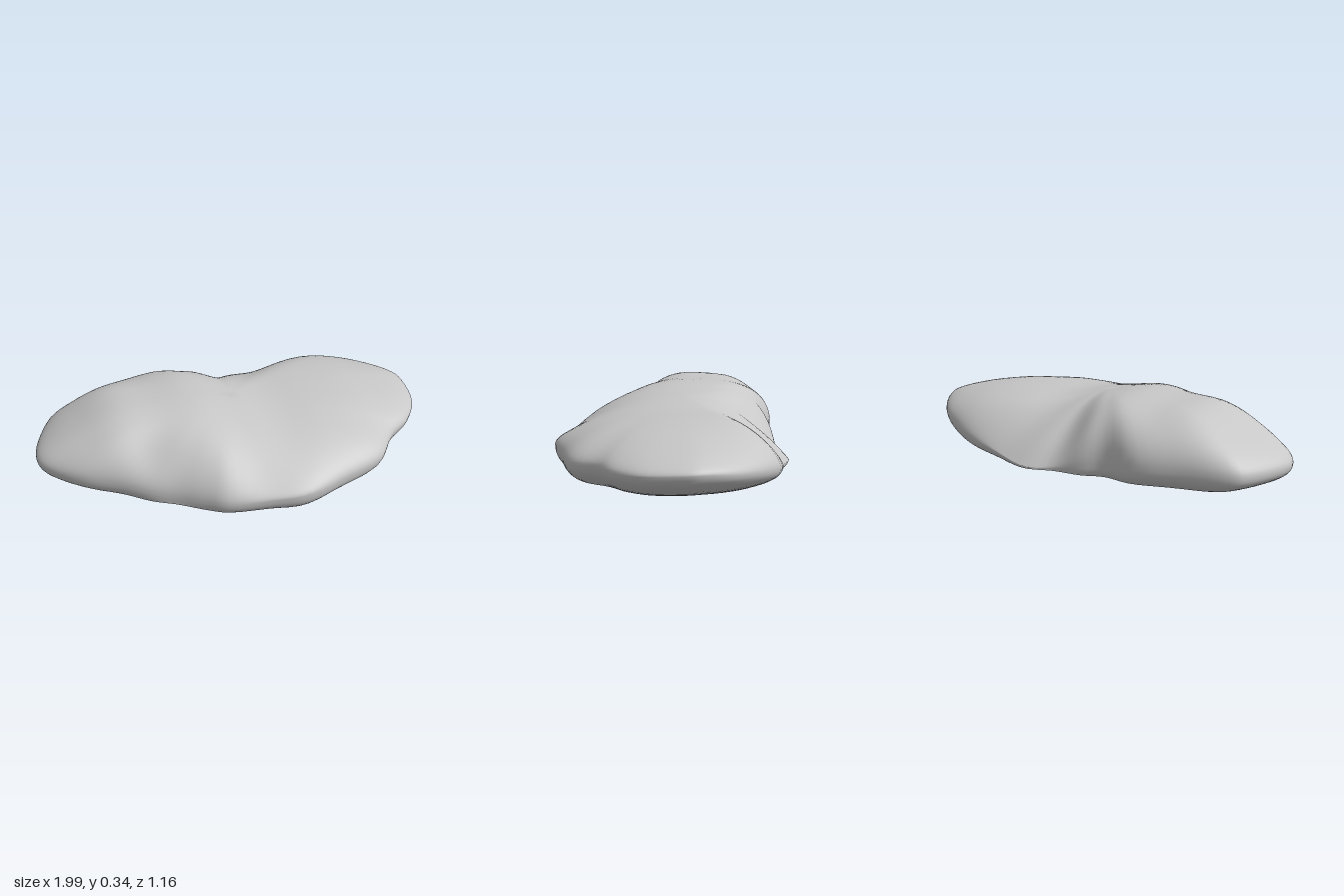
import * as THREE from 'three';

const CZ = -0.05;      // rings shrink towards (0, CZ)
const SEG = 112;

// Widest outline: x, z, height of the widest point, scale of the base below it
const RIM = [
  [1, -0.05, 0.15, 0.77], [0.97, 0.12, 0.14, 0.79], [0.87, 0.25, 0.13, 0.82],
  [0.74, 0.33, 0.12, 0.86], [0.61, 0.46, 0.1, 0.9], [0.38, 0.525, 0.09, 0.93],
  [0.18, 0.578, 0.09, 0.94], [0, 0.545, 0.08, 0.94], [-0.19, 0.495, 0.06, 0.96],
  [-0.29, 0.42, 0.04, 0.99], [-0.4, 0.335, 0.03, 1], [-0.52, 0.27, 0.05, 0.99],
  [-0.66, 0.185, 0.08, 0.95], [-0.8, 0.11, 0.09, 0.92], [-0.91, 0.02, 0.09, 0.9],
  [-0.985, -0.08, 0.09, 0.88], [-0.985, -0.2, 0.09, 0.88], [-0.91, -0.37, 0.09, 0.88],
  [-0.83, -0.445, 0.09, 0.89], [-0.62, -0.495, 0.09, 0.9], [-0.41, -0.54, 0.08, 0.92],
  [-0.24, -0.505, 0.05, 0.96], [-0.12, -0.53, 0.03, 0.99], [0.02, -0.54, 0.015, 1],
  [0.17, -0.58, 0.01, 1], [0.38, -0.535, 0.04, 0.96], [0.6, -0.49, 0.08, 0.9],
  [0.78, -0.395, 0.11, 0.84], [0.9, -0.28, 0.13, 0.8], [0.98, -0.15, 0.15, 0.77],
];

// Height of the crown at even steps from x = -1 to x = 1
const RIDGE = new THREE.SplineCurve(
  [0.22, 0.275, 0.334, 0.33, 0.336, 0.3, 0.265, 0.268, 0.266, 0.25, 0.235]
    .map((y, i) => new THREE.Vector2(-1 + i * 0.2, y)));

const { smoothstep, lerp, clamp } = THREE.MathUtils;
const bump = (x, z, cx, cz, r) => Math.exp(-((x - cx) ** 2 + (z - cz) ** 2) / (r * r));

// Crown height: a ridge that tilts down at the front of the high half, with two worn hollows
function crown(x, z) {
  const tilt = z > -0.1 ? lerp(0.4, 0.16, smoothstep(x, -0.1, 0.3)) : 0.16;
  return RIDGE.getPoint(clamp((x + 1) / 2, 0, 1)).y - tilt * (z + 0.1) ** 2
    - 0.06 * bump(x, z, -0.52, 0.22, 0.13) - 0.03 * bump(x, z, -0.02, -0.44, 0.12);
}

// How far the back edge at a rim point runs out as a straight skirt
const skirt = (r) => (r.z < -0.3
  ? smoothstep(r.x, -0.2, 0.1) * (1 - smoothstep(r.x, 0.3, 0.75)) : 0);

function createRings() {
  const rimCurve = new THREE.CatmullRomCurve3(
    RIM.map(([x, z, y]) => new THREE.Vector3(x, y, z)), true, 'catmullrom', 0.5);
  const baseCurve = new THREE.CatmullRomCurve3(
    RIM.map(([x, z, , s]) => new THREE.Vector3(x * s, 0, CZ + (z - CZ) * s)), true, 'catmullrom', 0.5);
  const rims = [], bases = [];
  for (let j = 0; j < SEG; j++) {
    rims.push(rimCurve.getPoint(j / SEG));
    bases.push(baseCurve.getPoint(j / SEG));
  }
  const rings = [];
  // Undercut side, from the base to the widest outline, shallower at the +x end
  for (let i = 0; i <= 8; i++) {
    const up = i / 8;
    rings.push(rims.map((r, j) => {
      const out = 1 - (1 - up) ** lerp(2.8, 2, smoothstep(r.x, 0.4, 0.9));
      return new THREE.Vector3(lerp(bases[j].x, r.x, out), r.y * up, lerp(bases[j].z, r.z, out));
    }));
  }
  // Rounded shoulder and crown
  const STEPS = 24;
  for (let i = 1; i <= STEPS; i++) {
    const t = Math.max(Math.cos((i / STEPS) * Math.PI / 2), 0);
    rings.push(rims.map((r) => {
      const x = r.x * t, z = CZ + (r.z - CZ) * t;
      const rise = lerp(Math.sqrt(1 - t ** 4), 1 - t ** 2.6, skirt(r));
      return new THREE.Vector3(x, lerp(r.y, crown(x, z), rise), z);
    }));
  }
  return rings;
}

function loft(rings) {
  const positions = [], index = [];
  rings.forEach((ring) => ring.forEach((p) => positions.push(p.x, p.y, p.z)));
  for (let i = 0; i < rings.length - 1; i++) {
    for (let j = 0; j < SEG; j++) {
      const a = i * SEG + j, b = i * SEG + (j + 1) % SEG;
      index.push(a, a + SEG, b, b, a + SEG, b + SEG);
    }
  }
  const geometry = new THREE.BufferGeometry();
  geometry.setAttribute('position', new THREE.Float32BufferAttribute(positions, 3));
  geometry.setIndex(index);
  geometry.computeVertexNormals();
  // The last ring closes to a point, so give it one shared normal
  const n = geometry.attributes.normal;
  for (let j = n.count - SEG; j < n.count; j++) n.setXYZ(j, 0, 1, 0);
  return geometry;
}

export function createModel() {
  const group = new THREE.Group();
  group.name = 'flatRock';
  const stone = new THREE.MeshStandardMaterial({ color: 0xc7c7c7 });
  stone.name = 'stone grey';

  const rings = createRings();
  const body = new THREE.Mesh(loft(rings), stone);
  body.name = 'rockBody';

  // Flat underside
  const shape = new THREE.Shape(rings[0].map((p) => new THREE.Vector2(p.x, p.z)));
  const underside = new THREE.Mesh(new THREE.ShapeGeometry(shape).rotateX(Math.PI / 2), stone);
  underside.name = 'rockUnderside';

  group.add(body, underside);
  return group;
}
